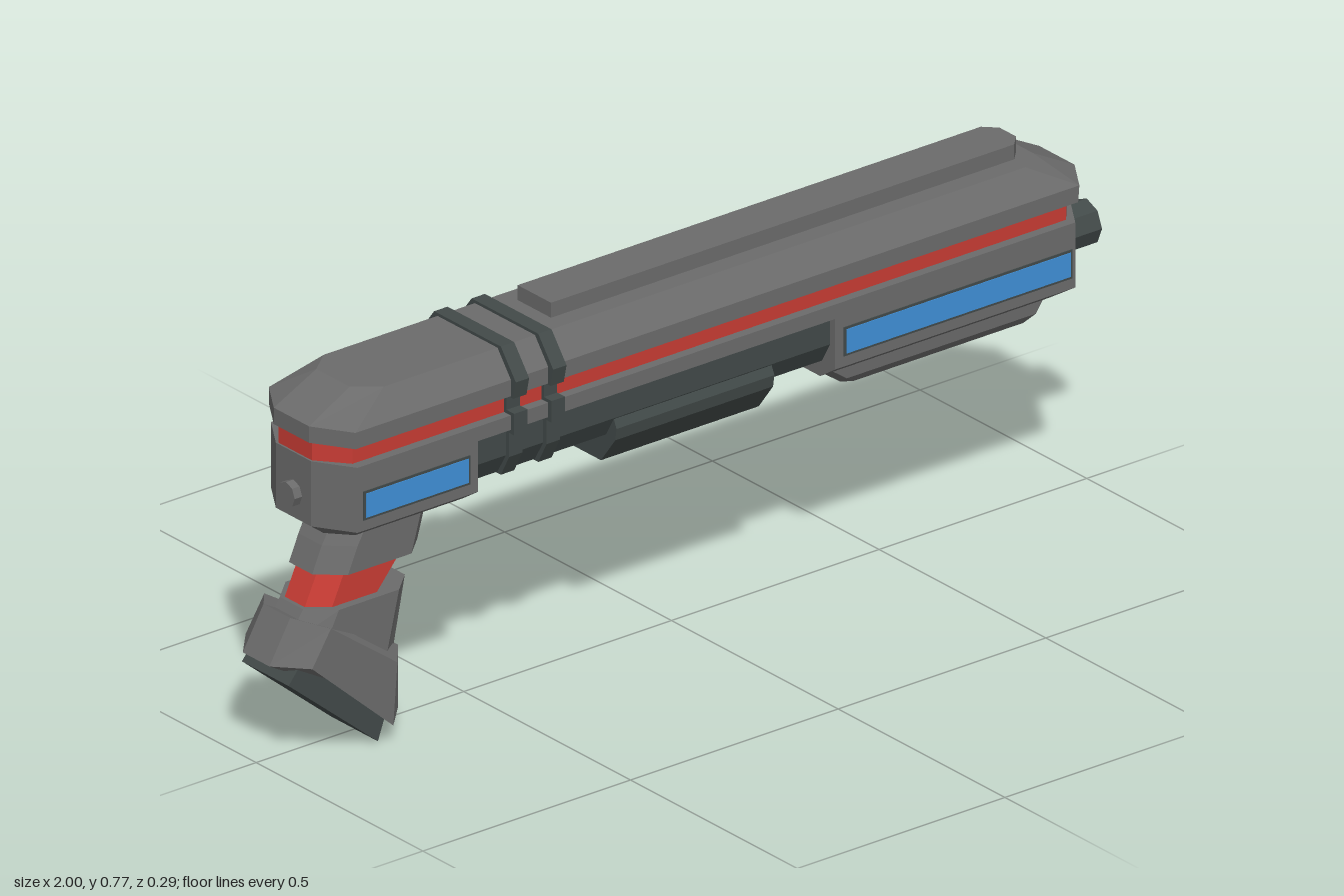
import * as THREE from 'three';

const mat = (name, color) => {
  const m = new THREE.MeshStandardMaterial({ color });
  m.name = name;
  return m;
};

// Eight-sided section. p: back tip, back corner, front corner, front tip as [x, y];
// w: half width, t0 / t1: half widths of the back and front tips.
const section = (p, w, t0, t1 = t0) => [
  [...p[3], t1], [...p[3], -t1], [...p[2], -w], [...p[1], -w],
  [...p[0], -t0], [...p[0], t0], [...p[1], w], [...p[2], w],
];

// Level section with chamfered ends; an inset of 0 gives a square end.
const level = (y, x0, x1, w, t, in0 = 0, in1 = 0) => section(
  [[x0, y], [x0 + in0, y], [x1 - in1, y], [x1, y]], w, in0 ? t : w, in1 ? t : w);

// Section along a sloping line from back to front.
const sloped = (a, b, w, t, k = 0.2) => {
  const mix = (f) => [a[0] + (b[0] - a[0]) * f, a[1] + (b[1] - a[1]) * f];
  return section([a, mix(k), mix(1 - k), b], w, t);
};

const flat = (g) => {
  const f = g.index ? g.toNonIndexed() : g;
  f.computeVertexNormals();
  return f;
};

// Skins sections from bottom to top and caps both ends, with faceted shading.
function loft(rings) {
  const pos = [];
  const tri = (a, b, c) => pos.push(...a, ...b, ...c);
  for (let r = 0; r < rings.length - 1; r++) {
    const lo = rings[r], hi = rings[r + 1];
    for (let i = 0; i < 8; i++) {
      const j = (i + 1) % 8;
      tri(lo[i], lo[j], hi[j]);
      tri(lo[i], hi[j], hi[i]);
    }
  }
  const bottom = rings[0], top = rings[rings.length - 1];
  for (let i = 1; i < 7; i++) {
    tri(bottom[0], bottom[i + 1], bottom[i]);
    tri(top[0], top[i], top[i + 1]);
  }
  const g = new THREE.BufferGeometry();
  g.setAttribute('position', new THREE.Float32BufferAttribute(pos, 3));
  return flat(g);
}

export function createModel() {
  const model = new THREE.Group();
  model.name = 'blaster';
  const grey = mat('gunmetal grey', 0x6b6b6b);
  const dark = mat('dark steel', 0x424a49);
  const red = mat('red trim', 0xc83c34);
  const blue = mat('blue panel', 0x4090d8);

  const add = (name, geometry, material) => {
    const m = new THREE.Mesh(geometry, material);
    m.name = name;
    model.add(m);
    return m;
  };

  // Upper shell, red stripe and top rail
  add('upperShell', loft([
    level(0.658, -0.915, 0.925, 0.13, 0.053, 0.05, 0.05),
    level(0.692, -0.915, 0.928, 0.13, 0.053, 0.05, 0.05),
    level(0.744, -0.815, 0.83, 0.09, 0.05, 0.05, 0.05),
  ]), grey);
  add('redStripe', loft([
    level(0.61, -0.906, 0.912, 0.11, 0.05, 0.05, 0.05),
    level(0.665, -0.906, 0.912, 0.11, 0.05, 0.05, 0.05),
  ]), red);
  add('topRail', loft([
    level(0.74, -0.33, 0.81, 0.05, 0.025, 0, 0.025),
    level(0.775, -0.33, 0.81, 0.05, 0.025, 0, 0.025),
  ]), grey);

  // Lower body: full-length ledge with deep rear and front blocks
  add('sideLedge', loft([
    level(0.588, -0.91, 0.918, 0.13, 0.053, 0.05, 0.05),
    level(0.618, -0.91, 0.918, 0.13, 0.053, 0.05, 0.05),
  ]), grey);
  add('rearBlock', loft([
    level(0.453, -0.87, -0.57, 0.085, 0.04, 0.04, 0),
    level(0.483, -0.91, -0.57, 0.13, 0.053, 0.05, 0),
    level(0.59, -0.91, -0.57, 0.13, 0.053, 0.05, 0),
  ]), grey);
  add('frontBlock', loft([
    level(0.453, 0.29, 0.88, 0.085, 0.04, 0, 0.04),
    level(0.483, 0.29, 0.918, 0.13, 0.053, 0, 0.05),
    level(0.59, 0.29, 0.918, 0.13, 0.053, 0, 0.05),
  ]), grey);
  add('frontKeel', loft([
    level(0.392, 0.385, 0.835, 0.04, 0.025, 0.02, 0.02),
    level(0.41, 0.36, 0.855, 0.053, 0.03, 0.02, 0.02),
    level(0.456, 0.295, 0.885, 0.055, 0.03, 0.02, 0.02),
  ]), grey);

  // Recessed middle and the box slung below it
  add('middleBody', loft([
    level(0.487, -0.58, 0.3, 0.09),
    level(0.53, -0.58, 0.3, 0.115),
    level(0.6, -0.58, 0.3, 0.115),
  ]), dark);
  add('underBox', loft([
    level(0.428, -0.23, 0.15, 0.075),
    level(0.485, -0.23, 0.15, 0.118),
    level(0.51, -0.23, 0.15, 0.122),
    level(0.535, -0.23, 0.15, 0.11),
  ]), dark);

  // Two stepped clamp bands
  for (const x of [-0.475, -0.385]) {
    const profile = [[0.484, 0.1], [0.53, 0.125], [0.58, 0.125], [0.58, 0.14], [0.625, 0.14],
      [0.625, 0.117], [0.655, 0.117], [0.655, 0.137], [0.692, 0.145], [0.75, 0.1]];
    add('clampBand', loft(profile.map(([y, w]) => level(y, x - 0.016, x + 0.016, w))), dark);
  }

  // Blue side panels
  for (const side of [-1, 1]) {
    for (const [x0, x1] of [[-0.842, -0.595], [0.315, 0.855]]) {
      for (const [name, grow, depth, material] of
        [['panelFrame', 0.005, 0.004, dark], ['bluePanel', 0, 0.007, blue]]) {
        const g = new THREE.BoxGeometry(x1 - x0 + grow * 2, 0.05 + grow * 2, depth);
        add(name, g, material).position.set((x0 + x1) / 2, 0.535, side * 0.13);
      }
    }
  }

  // Hollow muzzle and rear stud
  const bore = [[0.046, 0], [0.046, 0.1], [0.037, 0.1], [0.037, 0.04], [0, 0.04]];
  const muzzle = add('muzzle', flat(new THREE.LatheGeometry(
    bore.map(([r, h]) => new THREE.Vector2(r, h)), 8)), dark);
  muzzle.rotation.z = -Math.PI / 2;
  muzzle.position.set(0.9, 0.535, 0);
  const stud = add('rearStud', flat(new THREE.CylinderGeometry(0.026, 0.026, 0.04, 8)), grey);
  stud.rotation.z = Math.PI / 2;
  stud.position.set(-0.908, 0.535, 0);

  // Raked grip
  add('gripNeck', loft([
    level(0.372, -0.893, -0.64, 0.08, 0.035, 0.05, 0.05),
    level(0.425, -0.87, -0.625, 0.08, 0.035, 0.05, 0.05),
    level(0.46, -0.85, -0.615, 0.08, 0.035, 0.05, 0.05),
  ]), grey);
  add('gripRedCollar', loft([
    level(0.295, -0.912, -0.728, 0.062, 0.03, 0.04, 0.04),
    level(0.376, -0.875, -0.66, 0.062, 0.03, 0.04, 0.04),
  ]), red);
  add('gripHandle', loft([
    sloped([-0.96, 0.24], [-0.705, 0.13], 0.08, 0.035),
    level(0.306, -0.915, -0.67, 0.08, 0.035, 0.05, 0.05),
  ]), grey);
  add('gripFlange', loft([
    section([[-1, 0.214], [-0.945, 0.214], [-0.75, 0.04], [-0.69, 0.04]], 0.1, 0.04),
    section([[-0.95, 0.3], [-0.9, 0.285], [-0.74, 0.168], [-0.69, 0.168]], 0.1, 0.04),
  ]), grey);
  add('gripBasePlate', loft([
    sloped([-0.978, 0.178], [-0.763, 0], 0.07, 0.07, 0.1),
    sloped([-0.94, 0.225], [-0.745, 0.05], 0.07, 0.07, 0.1),
  ]), dark);

  return model;
}
